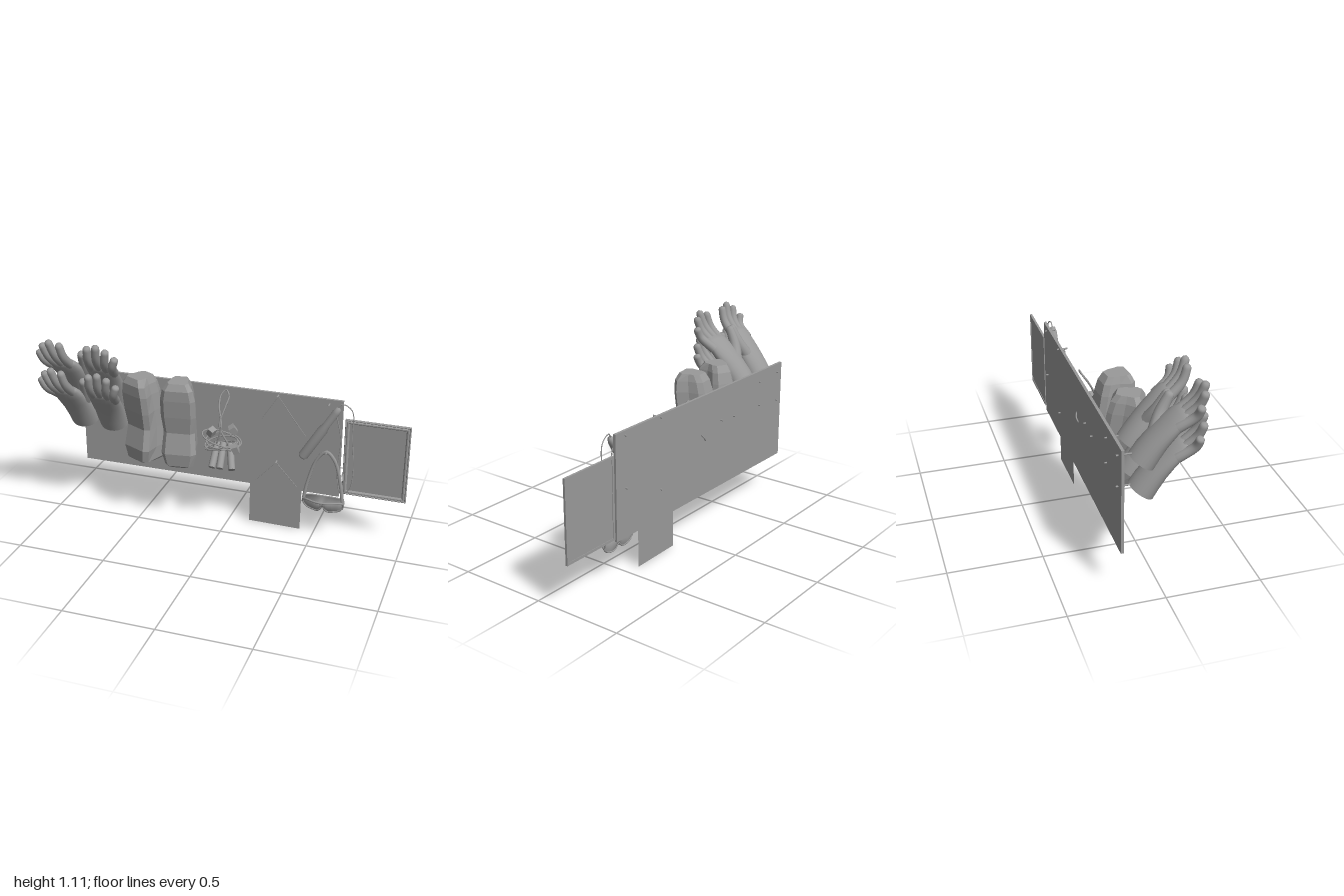
import * as THREE from 'three';
import { mergeVertices } from 'three/addons/utils/BufferGeometryUtils.js';

const V = (x, y, z) => new THREE.Vector3(x, y, z);
const smooth = new THREE.MeshStandardMaterial({ color: 0x999999, side: THREE.DoubleSide });
const flat = new THREE.MeshStandardMaterial({ color: 0x999999, side: THREE.DoubleSide, flatShading: true });

function add(parent, name, geo, x = 0, y = 0, z = 0, mat = smooth) {
  const m = new THREE.Mesh(geo, mat);
  m.name = name;
  m.position.set(x, y, z);
  parent.add(m);
  return m;
}

const box = (parent, name, w, h, d, x, y, z) => add(parent, name, new THREE.BoxGeometry(w, h, d), x, y, z);

// Skin over a stack of equal-length point rings, with optional end caps
function loft(rings, capStart, capEnd) {
  const n = rings[0].length, pos = [], idx = [];
  rings.forEach(r => r.forEach(p => pos.push(p.x, p.y, p.z)));
  for (let i = 0; i < rings.length - 1; i++)
    for (let j = 0; j < n; j++) {
      const a = i * n + j, b = i * n + (j + 1) % n;
      idx.push(a, a + n, b, b, a + n, b + n);
    }
  const last = (rings.length - 1) * n;
  for (let j = 1; j < n - 1; j++) {
    if (capStart) idx.push(0, j, j + 1);
    if (capEnd) idx.push(last, last + j + 1, last + j);
  }
  const g = new THREE.BufferGeometry();
  g.setAttribute('position', new THREE.Float32BufferAttribute(pos, 3));
  g.setIndex(idx);
  g.computeVertexNormals();
  return g;
}

// Round-tipped tube narrowing from radius r0 to r1
function taper(points, r0, r1, seg = 32, sides = 12) {
  const curve = new THREE.CatmullRomCurve3(points);
  let g = new THREE.TubeGeometry(curve, seg, 1, sides);
  const p = g.attributes.position, v = V(0, 0, 0);
  for (let i = 0; i < p.count; i++) {
    const t = Math.floor(i / (sides + 1)) / seg, c = curve.getPointAt(t);
    const e = Math.max(0, (t - .9) / .1);
    v.fromBufferAttribute(p, i).sub(c).multiplyScalar((r0 + (r1 - r0) * t) * Math.sqrt(Math.max(0, 1 - e * e))).add(c);
    p.setXYZ(i, v.x, v.y, v.z);
  }
  g.deleteAttribute('uv');
  g.deleteAttribute('normal');
  g = mergeVertices(g);
  g.computeVertexNormals();
  return g;
}

const cord = (parent, name, points, r = 0.003, closed = false, seg = 32) =>
  add(parent, name, new THREE.TubeGeometry(new THREE.CatmullRomCurve3(points, closed), seg, r, 6, closed));

// Glove: open cuff at y = 0, fingers towards +y; s = 1 puts the thumb on +x
function glove(s) {
  const g = new THREE.Group();
  g.name = 'glove';
  const palm = [[0, 0, .083, 0, .068], [.06, 0, .085, 0, .064], [.13, -.004, .085, .004, .056], [.19, -.008, .087, .012, .05],
    [.25, -.012, .088, .022, .043], [.3, -.018, .082, .032, .034], [.325, -.02, .066, .038, .02], [.33, -.02, .03, .04, .006]];
  add(g, 'palmAndCuff', loft(palm.map(([y, xc, rx, zc, rz]) => Array.from({ length: 24 }, (_, j) => {
    const a = j / 24 * Math.PI * 2;
    return V(s * xc + rx * Math.cos(a), y, zc + rz * Math.sin(a));
  })), false, true));
  // Base x, tip x, tip y of each finger
  const fingers = [[-.078, -.13, .405], [-.045, -.09, .465], [-.009, -.042, .497], [.03, .015, .478]];
  for (const [bx, tx, ty] of fingers) {
    const mid = .27 + (ty - .27) * .55;
    add(g, 'finger', taper([V(s * bx, .25, .022), V(s * (bx * .5 + tx * .5), mid, .054), V(s * tx, ty, .034)], .027, .021));
  }
  add(g, 'thumb', taper([V(s * .03, .14, .0), V(s * .072, .23, -.012), V(s * .086, .345, -.02)], .04, .022));
  return g;
}

// Shoe hanging with its sole towards +z
function shoe() {
  const sections = [[.37, .055, .06, .08, -.085], [.385, .08, .073, .098, -.1], [.46, .098, .078, .108, -.1], [.58, .088, .074, .085, -.09],
    [.68, .098, .074, .102, -.08], [.78, .098, .07, .114, -.062], [.84, .085, .062, .116, -.045], [.878, .058, .05, .1, -.02]];
  return loft(sections.map(([y, wf, wb, zf, zb]) => {
    const half = [[wf * .75, zf], [wf, zf - .025], [wb, (zf + zb) / 2], [wb * .95, zb + .03], [wb * .65, zb]];
    const right = half.map(([x, z]) => V(x, y, z)).reverse();
    return [...right, ...half.map(([x, z]) => V(-x, y, z))];
  }), true, true);
}

export function createModel() {
  const root = new THREE.Group();
  root.name = 'safetyEquipmentBoard';

  // Backboard and its pegs
  box(root, 'backboard', 1.53, .575, .015, -.135, .5225, -.195);
  const pegs = [[-.85, .76, -.12], [-.66, .75, -.12], [-.85, .59, -.12], [-.66, .61, -.12], [-.4, .615, -.13],
    [-.277, .625, -.13], [.27, .797, -.155], [.555, .785, -.155], [.555, .505, -.15], [.27, .4, -.155]];
  for (const [x, y, z] of pegs) {
    const g = new THREE.CylinderGeometry(.0045, .0045, z + .215, 10).rotateX(Math.PI / 2);
    add(root, 'peg', g, x, y, (z - .215) / 2);
  }

  // Framed panel beside the board: ribbed rim around a recessed sheet
  const rim = [[0, -.204], [0, -.192], [.004, -.189], [.008, -.193], [.012, -.187], [.018, -.187], [.022, -.191], [.025, -.197]];
  const rings = rim.map(([inset, z]) => {
    const w = .1775 - inset, h = .225 - inset;
    return [V(w, -h, z), V(-w, -h, z), V(-w, h, z), V(w, h, z)].reverse();
  });
  // Rings run outside to inside, so the corner order is set to face outwards
  add(root, 'panelFrame', loft(rings.map(r => r.slice().reverse())), .8225, .48, 0, flat);
  box(root, 'framedPanel', .335, .43, .004, .8225, .48, -.199);
  for (const s of [-1, 1]) {
    box(root, 'frameBackSide', .014, .45, .004, .8225 + s * .1705, .48, -.202);
    box(root, 'frameBackRail', .327, .014, .004, .8225, .48 + s * .218, -.202);
  }

  // Two pairs of gloves, one above the other
  for (const dy of [0, .16])
    for (const s of [1, -1]) {
      const g = glove(s);
      g.position.set(s > 0 ? -.846 : -.665, .552 + dy, -.09);
      g.rotation.set(.56, 0, s > 0 ? .03 : 0);
      root.add(g);
    }

  // Pair of shoes
  add(root, 'shoe', shoe(), -.455, 0, -.07, flat).rotation.y = -.45;
  add(root, 'shoe', shoe(), -.25, 0, -.07, flat).rotation.y = .13;

  // Bundle of cords, tubes and clips
  const bundle = new THREE.Group();
  bundle.name = 'cordBundle';
  root.add(bundle);
  for (let k = 0; k < 6; k++) {
    const pts = Array.from({ length: 10 }, (_, i) => {
      const a = i / 10 * Math.PI * 2;
      return V(-.03 + (.075 + .007 * k) * Math.cos(a) + .01 * Math.sin(k * 2), .455 + .014 * k + .03 * Math.sin(a + k * .8), -.115 + .05 * Math.sin(a));
    });
    cord(bundle, 'coiledCord', pts, .004, true);
  }
  cord(bundle, 'hangingLoop', [V(-.05, .5, -.08), V(-.02, .62, -.075), V(-.045, .72, -.115), V(-.045, .775, -.15), V(-.02, .8, -.165),
    V(.0, .77, -.15), V(-.01, .72, -.115), V(-.03, .62, -.075), V(.02, .5, -.09)], .005, false, 48);
  cord(bundle, 'rearHook', [V(-.09, .595, -.202), V(-.11, .57, -.209), V(-.13, .55, -.202)], .004, false, 8);
  for (const [x, lean] of [[-.06, 0], [-.02, .08], [.035, .28]]) {
    const m = add(bundle, 'tube', new THREE.CylinderGeometry(.02, .02, .15, 14), x, .437, -.08);
    m.rotation.set(-.75, 0, lean);
  }
  for (const [x, y, z, r] of [[.045, .605, -.085, .5], [-.085, .565, -.1, -.4], [.06, .49, -.08, .3]])
    box(bundle, 'clip', .034, .045, .04, x, y, z).rotation.set(.2, r, r);

  // Two hanging sheets with their strings
  for (const [x, y, w, h, r, px, py] of [[.285, .54, .32, .185, -.285, .275, .797], [.27, .14, .3, .275, -.015, .27, .4]]) {
    const s = new THREE.Group();
    s.name = 'hangingSheet';
    s.position.set(x, y, -.17);
    root.add(s);
    add(s, 'sheet', new THREE.PlaneGeometry(w, h)).rotation.z = r;
    for (const k of [-1, 1]) {
      const c = V(k * (w / 2 - .03), h / 2 - .01, 0).applyAxisAngle(V(0, 0, 1), r);
      const top = V(px - x, py - y, 0);
      cord(s, 'string', [c, c.clone().lerp(top, .5), top], .002, false, 4);
    }
  }

  // Hand torch and its looped cord
  const profile = [[0, -.19], [.02, -.188], [.028, -.175], [.028, .02], [.021, .05], [.021, .15], [.014, .18], [0, .185]];
  const torch = add(root, 'torch', new THREE.LatheGeometry(profile.map(p => new THREE.Vector2(...p)), 18), .52, .625, -.155);
  torch.rotation.z = -.55;
  cord(root, 'torchCord', [V(.6, .76, -.155), V(.63, .805, -.16), V(.685, .77, -.165), V(.692, .62, -.165), V(.708, .42, -.165),
    V(.69, .3, -.165), V(.645, .27, -.165), V(.62, .38, -.165), V(.63, .6, -.165), V(.6, .74, -.16)], .003, false, 64);

  // Goggles: curved shroud, rims, and strap
  const goggles = new THREE.Group();
  goggles.name = 'goggles';
  root.add(goggles);
  const at = u => {
    const e = Math.pow(Math.abs(u), 6), nose = .028 * Math.exp(-u * u * 40), x = .553 + .112 * u;
    const z = -.088 - .05 * u * u;
    return [V(x, .23 - .012 * e, z), V(x, .16 + nose + .035 * e, Math.max(z - .04, -.145)),
      V(x, .158 + nose + .04 * e, -.148), V(x, .24 - .01 * e, -.16)];
  };
  const us = Array.from({ length: 21 }, (_, i) => i / 10 - 1);
  add(goggles, 'lensAndShroud', loft(us.map(at), true, true));
  cord(goggles, 'frontRim', [...us.map(u => at(u)[0]), ...us.map(u => at(u)[1]).reverse()], .006, true, 80);
  cord(goggles, 'backRim', [...us.map(u => at(u)[3]), ...us.map(u => at(u)[2]).reverse()], .004, true, 80);
  cord(goggles, 'strap', [V(.441, .22, -.145), V(.458, .32, -.155), V(.505, .46, -.165), V(.555, .508, -.168),
    V(.605, .46, -.165), V(.645, .32, -.155), V(.662, .22, -.145)], .01, false, 40);

  return root;
}
